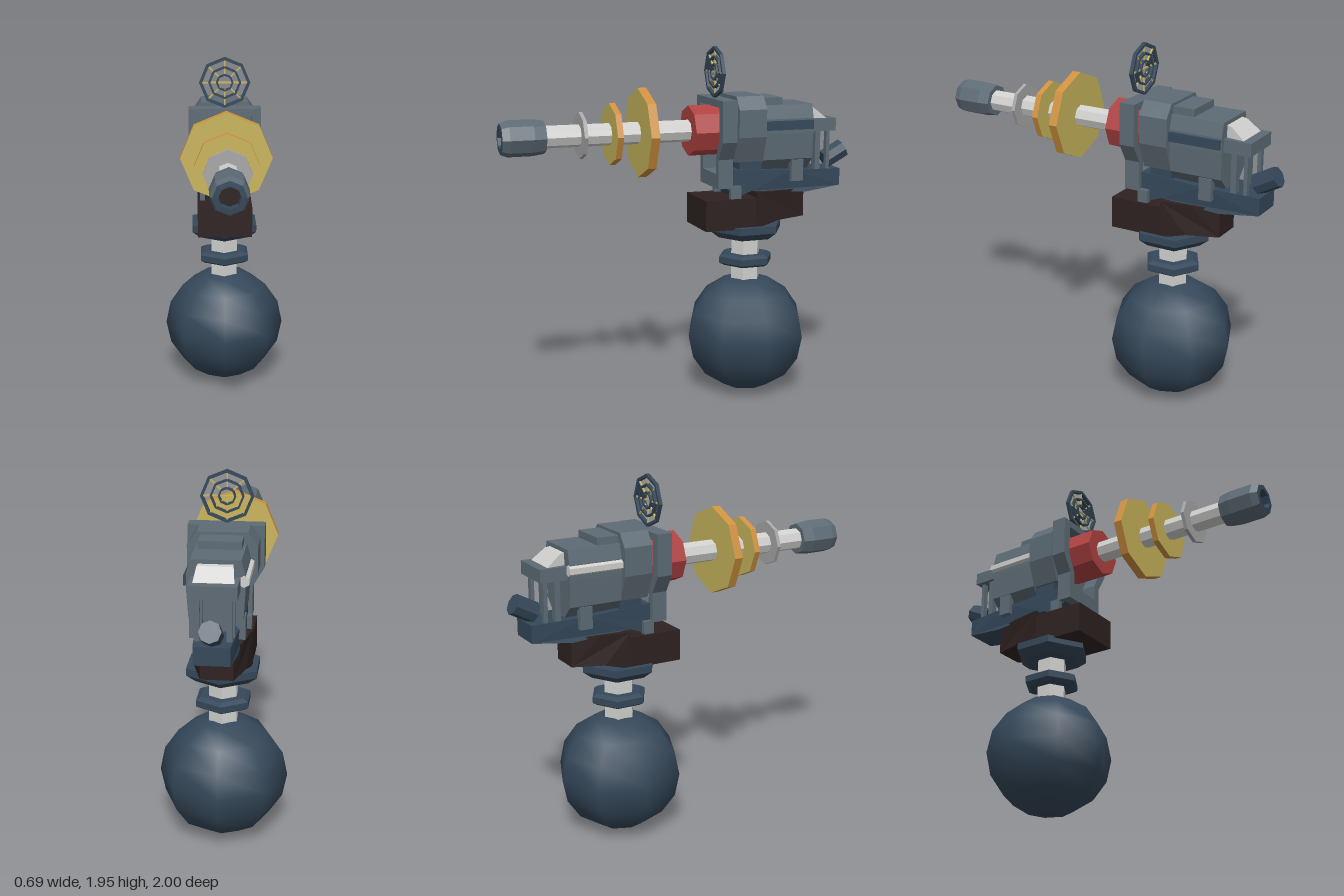
import * as THREE from 'three';

const paint = (color) => new THREE.MeshStandardMaterial({ color });

export function createModel() {
  const navy = paint(0x35485a), grey = paint(0x5d6b75), brown = paint(0x2e2121);
  const light = paint(0xd0d0ce), steel = paint(0xa8a8a8), red = paint(0xb04242);
  const yellow = paint(0xc9b55c), orange = paint(0xd0913f);
  navy.name = 'navy'; grey.name = 'gunGrey'; brown.name = 'darkBrown'; light.name = 'lightGrey';
  steel.name = 'steel'; red.name = 'red'; yellow.name = 'yellow'; orange.name = 'orange';

  const model = new THREE.Group();
  const AXIS = 1.5, PIVOT = -0.385;

  function add(name, geo, mat, parent = model) {
    const mesh = new THREE.Mesh(geo, mat);
    mesh.name = name;
    parent.add(mesh);
    return mesh;
  }
  function flat(geo) {
    const g = geo.index ? geo.toNonIndexed() : geo;
    g.computeVertexNormals();
    return g;
  }
  const shapeOf = (pts) => new THREE.Shape(pts.map(([x, y]) => new THREE.Vector2(x, y)));
  const octagon = (r) => Array.from({ length: 8 }, (_, i) =>
    [r * Math.cos(i * Math.PI / 4), r * Math.sin(i * Math.PI / 4)]);
  const mirrored = (half) => [...half, ...half.slice().reverse().map(([x, y]) => [-x, y])];

  // Cross-section in x,y run along z, with an optional hole
  function alongZ(pts, z0, z1, hole) {
    const s = shapeOf(pts);
    if (hole) s.holes.push(shapeOf(hole));
    return flat(new THREE.ExtrudeGeometry(s, { depth: z1 - z0, bevelEnabled: false }).translate(0, 0, z0));
  }
  // Side outline in z,y widened along x; halfWidth may depend on z
  function sideways(pts, halfWidth) {
    const g = new THREE.ExtrudeGeometry(shapeOf(pts), { depth: 2, bevelEnabled: false });
    g.translate(0, 0, -1).rotateY(-Math.PI / 2);
    const p = g.attributes.position;
    for (let i = 0; i < p.count; i++) {
      const w = typeof halfWidth === 'function' ? halfWidth(p.getZ(i)) : halfWidth;
      p.setX(i, p.getX(i) * w);
    }
    return flat(g);
  }
  const box = (x0, x1, y0, y1, z0, z1) => new THREE.BoxGeometry(x1 - x0, y1 - y0, z1 - z0)
    .translate((x0 + x1) / 2, (y0 + y1) / 2, (z0 + z1) / 2);
  const lathe = (pts, sides) => flat(new THREE.LatheGeometry(
    pts.map(([r, y]) => new THREE.Vector2(r, y)), sides));
  // Eight-sided drum on the barrel axis
  const drum = (r, z0, z1) => flat(new THREE.CylinderGeometry(r, r, z1 - z0, 8)
    .rotateX(Math.PI / 2).translate(0, AXIS, (z0 + z1) / 2));

  // Ball foot and hexagonal pedestal
  add('ballFoot', new THREE.SphereGeometry(0.345, 8, 8).scale(1, 0.968, 1).translate(0, 0.334, -0.39), navy);
  add('post', flat(new THREE.CylinderGeometry(0.085, 0.085, 0.4, 6).translate(0, 0.79, PIVOT)), light);
  add('postRing', lathe([[0, 0.725], [0.13, 0.73], [0.158, 0.745], [0.158, 0.78], [0.13, 0.795], [0, 0.795]], 6)
    .translate(0, 0, PIVOT), navy);
  add('collar', lathe([[0, 0.89], [0.16, 0.89], [0.212, 0.93], [0.212, 0.97], [0, 0.97]], 6)
    .translate(0, 0, PIVOT), navy);

  // Swivel base
  add('swivelFront', sideways([[-0.09, 0.96], [-0.09, 1.13], [-0.39, 1.13], [-0.39, 0.96]], 0.152), brown);
  add('swivelRear', sideways([[-0.39, 0.96], [-0.39, 1.16], [-0.55, 1.16], [-0.7, 1.16], [-0.7, 1.0], [-0.53, 0.995]],
    (z) => 0.155 - Math.max(0, -z - 0.45) * 0.28), brown);

  // Cradle under the receiver
  add('cradle', sideways([[-0.22, 1.19], [-0.25, 1.29], [-0.61, 1.27], [-0.92, 1.26], [-0.92, 1.165],
    [-0.7, 1.14], [-0.37, 1.165], [-0.28, 1.13]], (z) => 0.115 + Math.min(0, z + 0.6) * 0.075), navy);
  for (const s of [-1, 1]) {
    add('cradleBracket', box(0.1, 0.14, 1.21, 1.33, -0.67, -0.6).translate(s < 0 ? -0.24 : 0, 0, 0), grey);
    add('frontLug', box(0.11, 0.14, 1.13, 1.2, -0.3, -0.24).translate(s < 0 ? -0.25 : 0, 0, 0), grey);
  }

  // Front frame with a window around the barrel block
  add('frontFrame', alongZ(mirrored([[0.14, 1.19], [0.14, 1.35], [0.2, 1.45], [0.2, 1.675]]), -0.25, -0.165,
    mirrored([[0.1, 1.27], [0.1, 1.36], [0.15, 1.46], [0.15, 1.635]])), grey);

  // Receiver
  add('receiverFront', alongZ(mirrored([[0.125, 1.33], [0.18, 1.47], [0.18, 1.62], [0.13, 1.69]]), -0.43, -0.27), grey);
  add('receiverBody', alongZ(mirrored([[0.07, 1.27], [0.135, 1.335], [0.145, 1.48], [0.145, 1.56], [0.125, 1.635]]),
    -0.725, -0.43), grey);
  add('topCover', sideways([[-0.43, 1.62], [-0.43, 1.675], [-0.55, 1.675], [-0.55, 1.62]], 0.11), grey);
  add('neck', box(-0.11, 0.11, 1.27, 1.45, -0.43, -0.3), navy);

  // Side rails: a dark one on the left, a light one on the right
  add('leftRail', box(0.13, 0.16, 1.5, 1.55, -0.72, -0.43), navy);
  add('rightRail', flat(new THREE.CylinderGeometry(0.03, 0.03, 0.3, 6).rotateX(Math.PI / 2)
    .translate(-0.137, 1.53, -0.58)), light);

  // Rear shelf, wedge, struts and knob
  add('rearShelf', box(-0.12, 0.12, 1.48, 1.55, -0.875, -0.72), grey);
  add('rearWedge', sideways([[-0.72, 1.54], [-0.72, 1.615], [-0.75, 1.61], [-0.825, 1.55], [-0.825, 1.54]],
    (z) => 0.085 + (-z - 0.72) * 0.15), light);
  for (const s of [-1, 1]) {
    add('rearStrut', box(-0.015, 0.015, 1.25, 1.49, -0.85, -0.83).translate(s * 0.08, 0, 0), grey);
    add('innerStrut', box(-0.02, 0.02, 1.25, 1.49, -0.79, -0.76).translate(s * 0.08, 0, 0), grey);
  }
  add('rearKnob', flat(new THREE.CylinderGeometry(0.056, 0.056, 0.13, 8).rotateX(-1.08)
    .translate(0, 1.33, -0.92)), navy);

  // Barrel, block and cooling discs
  add('barrelBlock', drum(0.138, -0.3, -0.04), red);
  add('barrel', drum(0.06, -0.2, 0.78), light);
  add('largeDisc', drum(0.242, 0.2, 0.248), [orange, yellow, yellow]);
  add('mediumDisc', drum(0.167, 0.375, 0.408), [orange, yellow, yellow]);
  add('smallDisc', drum(0.125, 0.555, 0.575), steel);

  // Muzzle with a sunken bore
  const onAxis = (g) => g.rotateX(Math.PI / 2).translate(0, AXIS, 0);
  add('muzzle', onAxis(lathe([[0, 0.765], [0.088, 0.765], [0.097, 0.83], [0.097, 0.96], [0.083, 0.998]], 8)), grey);
  add('muzzleFace', onAxis(lathe([[0.083, 0.998], [0.055, 1.0], [0.055, 0.94]], 8)), navy);
  add('bore', onAxis(lathe([[0.056, 0.95], [0, 0.95]], 8)), brown);

  // Ring sight
  const sight = new THREE.Group();
  sight.name = 'ringSight';
  sight.position.set(0, 1.815, -0.195);
  model.add(sight);
  for (const [r, w] of [[0.14, 0.016], [0.09, 0.011], [0.048, 0.01]])
    add('sightRing', alongZ(octagon(r), -0.01, 0.01, octagon(r - w)), navy, sight);
  for (let i = 0; i < 8; i++)
    add('sightSpoke', box(0.036, 0.128, -0.004, 0.004, -0.004, 0.004).rotateZ(i * Math.PI / 4), yellow, sight);
  add('sightBar', box(-0.04, 0.04, -0.004, 0.004, -0.004, 0.004), yellow, sight);

  return model;
}
